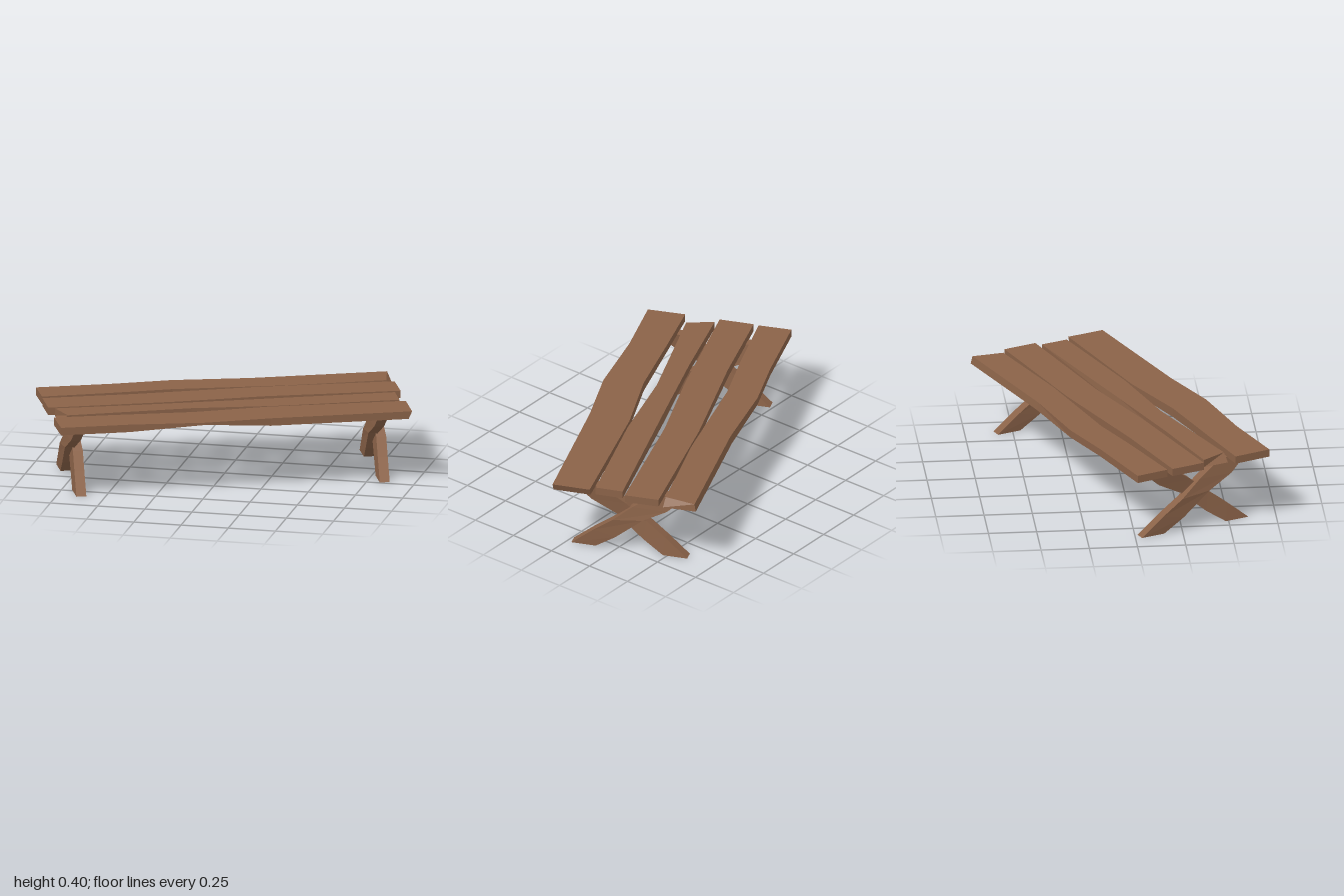
import * as THREE from 'three';

const wood = new THREE.MeshStandardMaterial({ color: 0x8a6248, flatShading: true });

// Solid skinned over a row of four-cornered sections, with closed ends
function loft(sections) {
  const pos = [];
  const quad = (a, b, c, d) => [a, b, c, a, c, d].forEach(p => pos.push(...p));
  for (let i = 0; i < sections.length - 1; i++) {
    const s = sections[i], n = sections[i + 1];
    for (let j = 0; j < 4; j++) {
      const k = (j + 1) % 4;
      quad(s[j], s[k], n[k], n[j]);
    }
  }
  quad(...[...sections[0]].reverse());
  quad(...sections[sections.length - 1]);
  const g = new THREE.BufferGeometry();
  g.setAttribute('position', new THREE.Float32BufferAttribute(pos, 3));
  g.computeVertexNormals();
  return g;
}

function addMesh(parent, name, geometry) {
  const mesh = new THREE.Mesh(geometry, wood);
  mesh.name = name;
  parent.add(mesh);
  return mesh;
}

const TOP = 0.395, BOTTOM = 0.355;

// Each station: x and z of the back edge, x and z of the front edge.
// tweak nudges single corners: [station, corner, dx, dy, dz]
// corners: 0 top back, 1 top front, 2 bottom front, 3 bottom back
const planks = [
  {
    stations: [[-0.923, -0.385, -0.92, -0.21], [-0.51, -0.386, -0.526, -0.219],
      [-0.211, -0.402, -0.235, -0.234], [0.2, -0.372, 0.349, -0.205], [0.919, -0.386, 0.922, -0.211]],
    tweak: [[4, 1, -0.04, 0, -0.004], [3, 3, 0, 0, -0.008], [4, 0, -0.005, 0, 0.008]],
  },
  {
    stations: [[-0.924, -0.182, -0.924, 0], [-0.445, -0.178, -0.258, 0],
      [0.203, -0.202, 0.215, -0.023], [0.921, -0.187, 0.922, -0.007]],
    tweak: [[1, 3, 0, -0.006, 0]],
  },
  {
    stations: [[-0.892, 0.018, -0.892, 0.158], [-0.442, 0.027, -0.198, 0.134],
      [0.05, 0.024, 0.253, 0.164], [0.889, 0.014, 0.887, 0.159]],
    tweak: [[0, 1, 0.045, 0, 0], [2, 3, 0, 0, -0.008]],
  },
  {
    stations: [[-0.926, 0.185, -0.922, 0.384], [-0.6, 0.192, -0.563, 0.383],
      [-0.198, 0.205, -0.172, 0.413], [0.192, 0.172, 0.177, 0.389], [0.917, 0.183, 0.916, 0.382]],
    tweak: [[2, 2, 0, 0.028, 0], [2, 3, 0, -0.008, 0], [4, 2, -0.018, 0, 0], [4, 3, -0.018, 0, 0]],
  },
];

function plankGeometry({ stations, tweak }) {
  const sections = stations.map(([xb, zb, xf, zf]) => [
    [xb, TOP, zb], [xf, TOP, zf], [xf, BOTTOM, zf], [xb, BOTTOM, zb],
  ]);
  for (const [s, c, ...d] of tweak) d.forEach((v, i) => { sections[s][c][i] += v; });
  return loft(sections);
}

// Rough-hewn slanting leg, from foot to top:
// y and z of the lower edge, y and z of the upper edge, sideways bow
function legGeometry() {
  const half = 0.026;
  return loft([
    [0, 0.18, 0, 0.31, 0],
    [0.075, 0.07, 0.1, 0.19, 0.01],
    [0.2, -0.075, 0.18, 0.085, 0.02],
    [0.27, -0.205, 0.27, -0.02, 0.012],
    [0.358, -0.3, 0.358, -0.15, 0],
  ].map(([yl, zl, yu, zu, bow]) => [
    [bow - half, yl, zl], [bow - half, yu, zu], [bow + half, yu, zu], [bow + half, yl, zl],
  ]));
}

export function createModel() {
  const table = new THREE.Group();
  table.name = 'plankTable';

  // Table top of four uneven boards
  const top = new THREE.Group();
  top.name = 'tableTop';
  planks.forEach((p, i) => addMesh(top, `plank${i + 1}`, plankGeometry(p)));
  table.add(top);

  // Crossed legs at both ends
  const leg = legGeometry();
  [['left', 0.785], ['right', -0.803]].forEach(([side, x]) => {
    const trestle = new THREE.Group();
    trestle.name = `${side}CrossedLegs`;
    trestle.position.x = x;
    addMesh(trestle, `${side}LegA`, leg);
    addMesh(trestle, `${side}LegB`, leg).rotation.y = Math.PI;
    table.add(trestle);
  });

  // The whole table stands at an angle
  table.rotation.y = THREE.MathUtils.degToRad(22.7);
  const model = new THREE.Group();
  model.name = 'model';
  model.add(table);
  return model;
}
